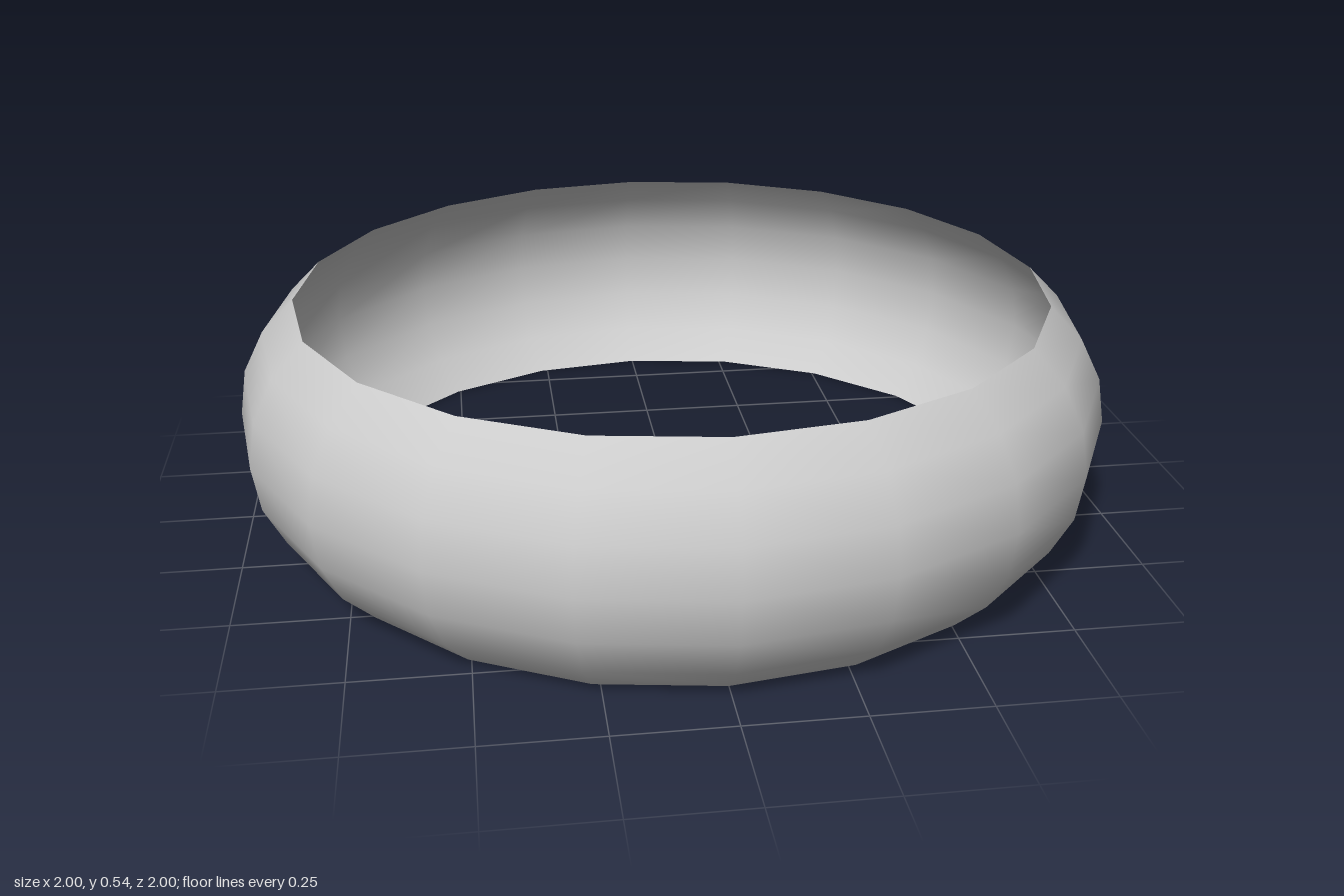
import * as THREE from 'three';

export function createModel() {
  const group = new THREE.Group();
  group.name = 'ring';

  // Bulged band: the outer arc of a torus tube, in six 18 degree steps
  const tube = 1 / 3;
  const step = Math.PI / 10;
  const midHeight = tube * Math.sin(3 * step);
  const profile = [];
  for (let i = -3; i <= 3; i++) {
    const a = i * step;
    profile.push(new THREE.Vector2(1 - tube + tube * Math.cos(a), midHeight + tube * Math.sin(a)));
  }

  // Thin open shell, visible from inside and outside
  const band = new THREE.Mesh(
    new THREE.LatheGeometry(profile, 20),
    new THREE.MeshStandardMaterial({ color: 0xcccccc, side: THREE.DoubleSide })
  );
  band.name = 'band';
  group.add(band);
  return group;
}
